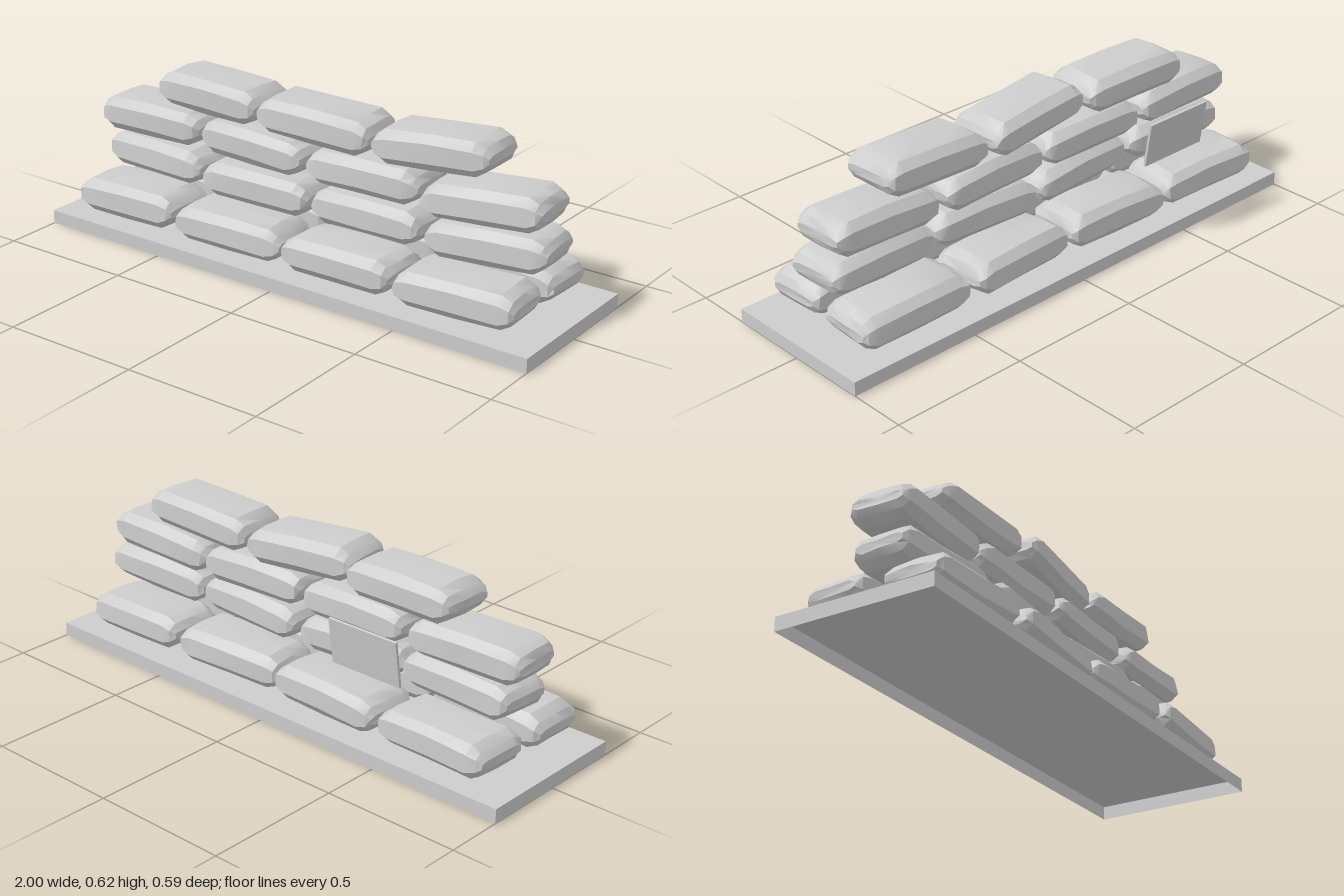
import * as THREE from 'three';
import { toCreasedNormals } from 'three/addons/utils/BufferGeometryUtils.js';

// Seeded generator for the slight lumpiness of each bag
function seeded(seed) {
  let s = seed * 7919 + 17;
  return () => {
    s = (s * 16807) % 2147483647;
    return s / 2147483647 - 0.5;
  };
}

// Bag cross-section as [y, z], running from the top towards +z
const SECTION = [
  [0.067, 0], [0.062, 0.08], [0.035, 0.11], [-0.03, 0.112], [-0.06, 0.085],
  [-0.064, 0], [-0.06, -0.085], [-0.03, -0.112], [0.035, -0.11], [0.062, -0.08],
];
// Stations along the bag: [x, height scale, depth scale]
const STATIONS = [
  [-0.219, 0.25, 0.84], [-0.203, 0.65, 0.97], [-0.168, 0.96, 1.03], [0, 1, 1],
  [0.168, 0.96, 1.03], [0.203, 0.65, 0.97], [0.219, 0.25, 0.84],
];

function bagGeometry(seed) {
  const rnd = seeded(seed), pos = [], idx = [], n = SECTION.length;
  for (const [x, sy, sz] of STATIONS) {
    for (const [y, z] of SECTION) {
      pos.push(x + rnd() * 0.005, y * sy + rnd() * 0.004, z * sz + rnd() * 0.006);
    }
  }
  for (let i = 0; i < STATIONS.length - 1; i++) {
    for (let j = 0; j < n; j++) {
      const k = (j + 1) % n, a = i * n, b = a + n;
      idx.push(a + j, a + k, b + j, a + k, b + k, b + j);
    }
  }
  // End caps
  const first = pos.length / 3, last = (STATIONS.length - 1) * n;
  pos.push(-0.217, 0, 0, 0.217, 0, 0);
  for (let j = 0; j < n; j++) {
    const k = (j + 1) % n;
    idx.push(first, k, j, first + 1, last + j, last + k);
  }
  const g = new THREE.BufferGeometry();
  g.setAttribute('position', new THREE.Float32BufferAttribute(pos, 3));
  g.setIndex(idx);
  return toCreasedNormals(g, 0.5);
}

// Each bag: [x, y, z, yaw, roll] with angles in degrees
const COURSES = {
  frontBottomBag: [
    [-0.69, 0.135, 0.147, -1, 2], [-0.23, 0.133, 0.152, 3, -1],
    [0.228, 0.133, 0.147, -1, 1], [0.685, 0.136, 0.148, 4, 0],
  ],
  backBottomBag: [
    [-0.69, 0.134, -0.141, -3, -1], [-0.23, 0.134, -0.137, -2, 1],
    [0.225, 0.135, -0.131, 5, 2], [0.685, 0.134, -0.135, -2, -2],
  ],
  secondCourseBag: [
    [-0.663, 0.272, 0.01, -3, 0], [-0.205, 0.264, 0.025, 3, -1],
    [0.253, 0.267, 0.01, -2, 1], [0.71, 0.273, 0.003, 4, 3],
  ],
  thirdCourseBag: [
    [-0.694, 0.405, 0.003, 2, 0], [-0.233, 0.402, 0.002, -2, -1],
    [0.227, 0.402, 0, 2, 0], [0.687, 0.403, -0.003, 3, 4],
  ],
  topCourseBag: [
    [-0.435, 0.539, -0.01, -2, -1], [0.022, 0.535, 0.005, 5, -3],
    [0.483, 0.541, -0.013, 3, 4],
  ],
};

export function createModel() {
  const model = new THREE.Group();
  model.name = 'sandbagWall';
  const grey = new THREE.MeshStandardMaterial({ color: 0xcccccc, side: THREE.DoubleSide });
  grey.name = 'light grey';

  // Ground slab: a shallow tray turned over, without its bottom face
  const slabGeometry = new THREE.BoxGeometry(2, 0.05, 0.586);
  const faces = Array.from(slabGeometry.index.array);
  slabGeometry.setIndex(faces.filter((_, i) => Math.floor(i / 6) !== 3));
  slabGeometry.clearGroups();
  const slab = new THREE.Mesh(slabGeometry, grey);
  slab.name = 'baseSlab';
  slab.position.y = 0.025;
  model.add(slab);

  // Stacked bags
  let seed = 1;
  for (const [name, bags] of Object.entries(COURSES)) {
    const course = new THREE.Group();
    course.name = name + 's';
    for (const [x, y, z, yaw, roll] of bags) {
      const bag = new THREE.Mesh(bagGeometry(seed++), grey);
      bag.name = name;
      bag.position.set(x, y, z);
      bag.rotation.set(0, THREE.MathUtils.degToRad(yaw), THREE.MathUtils.degToRad(roll));
      course.add(bag);
    }
    model.add(course);
  }

  // Tilted plate behind the wall
  const plate = new THREE.Mesh(new THREE.BoxGeometry(0.28, 0.165, 0.01), grey);
  plate.name = 'backPlate';
  plate.position.set(-0.45, 0.397, -0.278);
  plate.rotation.x = -0.14;
  model.add(plate);

  return model;
}
